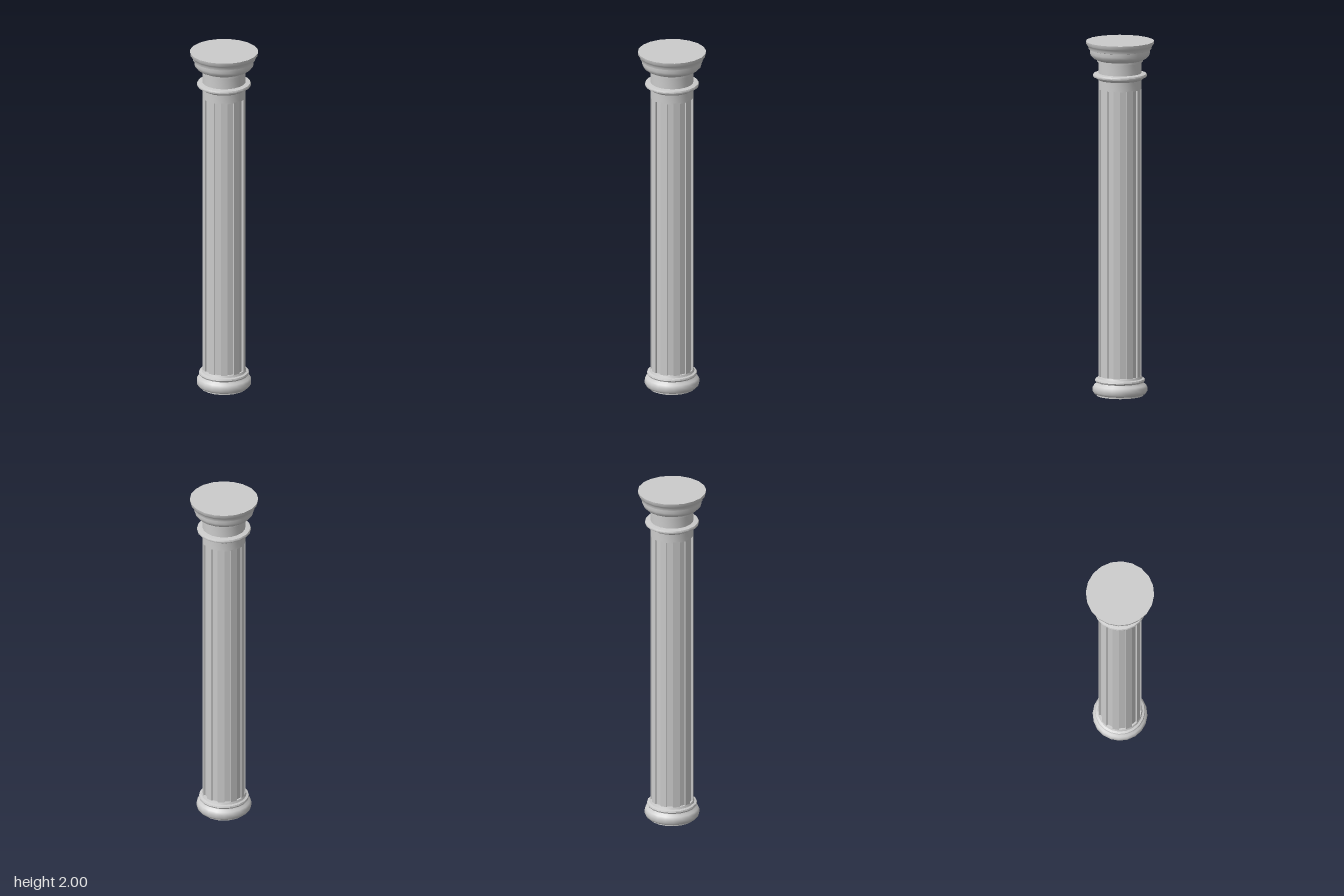
import * as THREE from 'three';
import { toCreasedNormals } from 'three/addons/utils/BufferGeometryUtils.js';

const SIDES = 20;
const material = new THREE.MeshStandardMaterial({ color: 0xcccccc });

// Turned part from a bottom-to-top [radius, height] profile
function turned(name, profile) {
  const points = profile.map(([r, y]) => new THREE.Vector2(r, y));
  const geometry = toCreasedNormals(new THREE.LatheGeometry(points, SIDES), 0.75);
  const mesh = new THREE.Mesh(geometry, material);
  mesh.name = name;
  return mesh;
}

// Shaft whose alternate sides are sunk to make ten flutes
function flutedShaft(bottom, top, outer, inner) {
  const points = [];
  const step = (Math.PI * 2) / SIDES;
  for (let i = 0; i < SIDES; i++) {
    const r = i % 2 ? inner : outer;
    for (const a of [i * step, (i + 1) * step]) {
      points.push(new THREE.Vector2(r * Math.sin(a), -r * Math.cos(a)));
    }
  }
  const geometry = new THREE.ExtrudeGeometry(new THREE.Shape(points), {
    depth: top - bottom, bevelEnabled: false,
  });
  geometry.rotateX(-Math.PI / 2).translate(0, bottom, 0);
  const mesh = new THREE.Mesh(geometry, material);
  mesh.name = 'flutedShaft';
  return mesh;
}

export function createModel() {
  const group = new THREE.Group();
  group.name = 'column';

  // Base: foot, large rounded moulding, hollow and small ring
  group.add(turned('base', [
    [0, 0], [0.13, 0], [0.13, 0.008], [0.145, 0.013], [0.152, 0.025], [0.152, 0.047],
    [0.145, 0.06], [0.132, 0.067], [0.127, 0.075], [0.136, 0.078], [0.14, 0.086],
    [0.137, 0.094], [0.125, 0.098], [0.12, 0.11], [0, 0.11],
  ]));

  group.add(flutedShaft(0.105, 1.735, 0.12, 0.11));

  // Plain band above the flutes
  group.add(turned('upperBand', [
    [0, 1.73], [0.12, 1.73], [0.12, 1.785], [0, 1.785],
  ]));

  // Collar ring
  group.add(turned('collar', [
    [0, 1.782], [0.12, 1.782], [0.13, 1.788], [0.137, 1.798], [0.149, 1.8],
    [0.151, 1.808], [0.147, 1.816], [0.12, 1.82], [0, 1.82],
  ]));

  group.add(turned('neck', [
    [0, 1.815], [0.12, 1.815], [0.12, 1.89], [0, 1.89],
  ]));

  // Capital: fillet, bowl, step and flared top slab
  group.add(turned('capital', [
    [0, 1.884], [0.127, 1.884], [0.127, 1.894], [0.134, 1.898], [0.15, 1.905],
    [0.162, 1.917], [0.167, 1.932], [0.167, 1.952], [0.174, 1.954],
    [0.176, 1.965], [0.183, 1.976], [0.188, 1.982], [0.19, 2], [0, 2],
  ]));

  return group;
}
